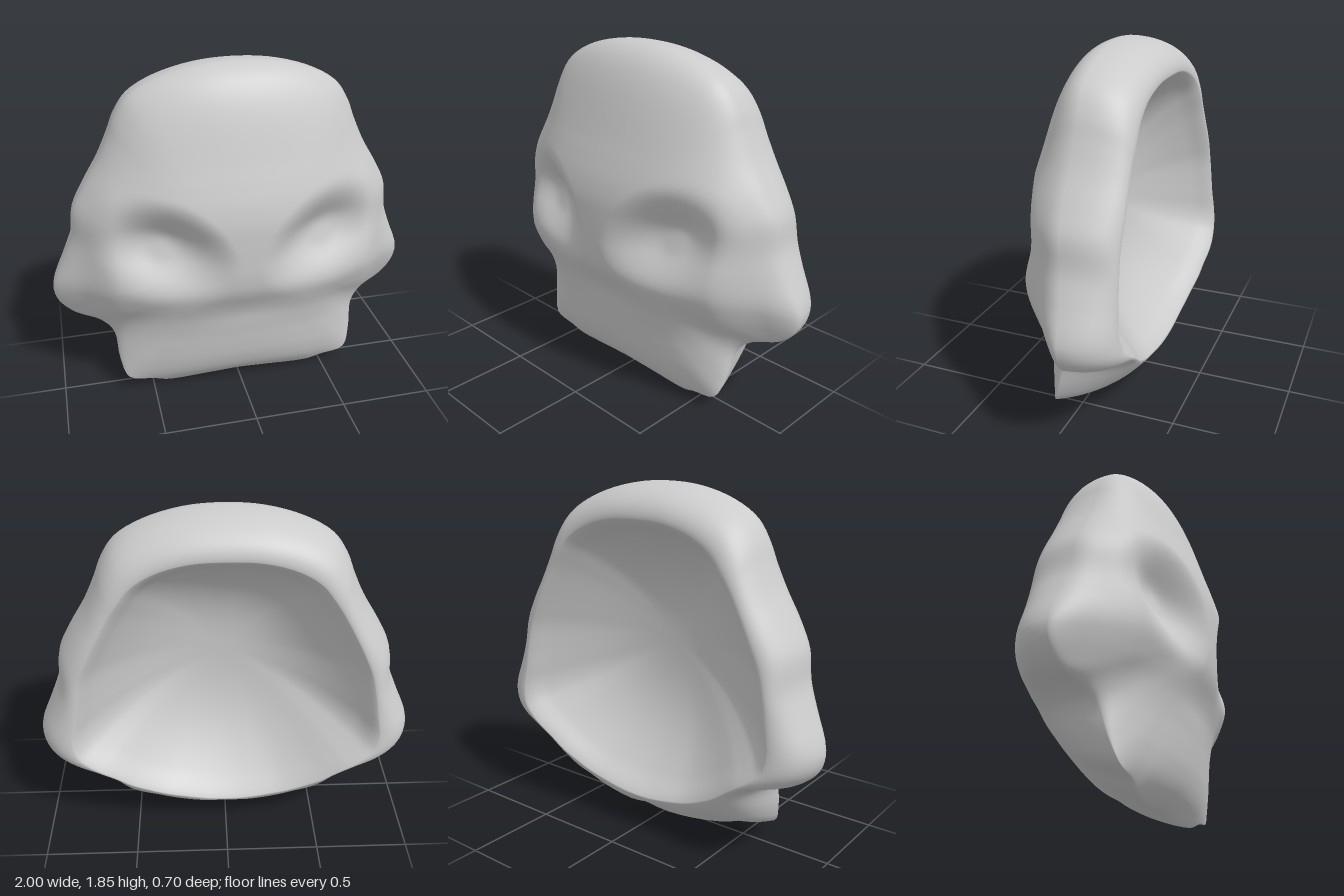
import * as THREE from 'three';
import { mergeVertices } from 'three/addons/utils/BufferGeometryUtils.js';

const { smoothstep, lerp } = THREE.MathUtils;

// Half outline, top to bottom: widest edge x, y, z and the matching back rim x, y, z
const OUTLINE = [
  [0, 1.85, -0.02, 0, 1.68, -0.29],
  [0.2, 1.835, -0.02, 0.18, 1.67, -0.29],
  [0.4, 1.78, -0.03, 0.35, 1.62, -0.29],
  [0.54, 1.7, -0.04, 0.46, 1.55, -0.295],
  [0.61, 1.6, -0.05, 0.53, 1.46, -0.3],
  [0.65, 1.5, -0.05, 0.58, 1.38, -0.3],
  [0.71, 1.37, -0.05, 0.64, 1.27, -0.305],
  [0.8, 1.22, -0.05, 0.7, 1.15, -0.31],
  [0.86, 1.1, -0.06, 0.75, 1.03, -0.31],
  [0.88, 0.95, -0.07, 0.78, 0.9, -0.315],
  [0.93, 0.82, -0.09, 0.8, 0.78, -0.32],
  [1, 0.64, -0.1, 0.82, 0.65, -0.33],
  [0.98, 0.54, -0.1, 0.8, 0.56, -0.34],
  [0.9, 0.46, -0.09, 0.74, 0.5, -0.35],
  [0.77, 0.42, -0.05, 0.67, 0.45, -0.35],
  [0.7, 0.36, 0, 0.6, 0.4, -0.34],
  [0.68, 0.2, 0.05, 0.52, 0.34, -0.33],
  [0.64, 0.09, 0.09, 0.43, 0.29, -0.315],
  [0.5, 0.055, 0.09, 0.34, 0.25, -0.305],
  [0.41, 0.02, 0.07, 0.25, 0.225, -0.3],
  [0.15, 0.005, 0.02, 0.1, 0.2, -0.3],
  [0, 0.025, 0.04, 0, 0.195, -0.3],
];

// Depth of the face down its centre line, every 0.1 up from the chin
const PROFILE_STEP = 0.1;
const PROFILE = new THREE.SplineCurve([
  0.16, 0.2, 0.215, 0.222, 0.232, 0.255, 0.293, 0.328, 0.343, 0.347,
  0.348, 0.345, 0.328, 0.3, 0.27, 0.245, 0.225, 0.21, 0.2, 0.19,
].map((z, i) => new THREE.Vector2(i * PROFILE_STEP, z)));
const PROFILE_HEIGHT = (PROFILE.points.length - 1) * PROFILE_STEP;

// Front surface: curved face, temples falling away, dent under the nose, tilted sockets
function faceDepth(x, y) {
  const ax = Math.abs(x);
  let z = PROFILE.getPoint(y / PROFILE_HEIGHT).y - 0.23 * ax * ax;
  z -= 0.06 * smoothstep(ax, 0.66, 0.88);
  z -= 0.018 * Math.exp(-(((y - 0.57) / 0.1) ** 2) - (x / 0.3) ** 2);
  const dx = ax - 0.43;
  const dy = y - 0.93 - 0.2 * dx;
  const r = Math.hypot(dx / 0.35, dy / 0.31);
  const underBrow = smoothstep(dy, -0.42, 0.12);
  return z - 0.145 * (1 - smoothstep(r, 0.15, 1.08)) * underBrow;
}

// Closed smooth curve through the mirrored outline
function closedCurve(offset) {
  const half = OUTLINE.map((p) => new THREE.Vector3(p[offset], p[offset + 1], p[offset + 2]));
  const mirrored = half.slice(1, -1).reverse().map((p) => new THREE.Vector3(-p.x, p.y, p.z));
  return new THREE.CatmullRomCurve3([...half, ...mirrored], true);
}

function maskGeometry() {
  const columns = 168, frontRows = 72, wallRows = 14, bowlRows = 32;
  const faceCentre = 0.9, bowlCentre = 1;
  const edge = closedCurve(0);
  const rim = closedCurve(3);
  const rings = [];
  const addRing = (pointAt) => {
    const ring = [];
    for (let c = 0; c < columns; c++) {
      ring.push(pointAt(edge.getPoint(c / columns), rim.getPoint(c / columns)));
    }
    rings.push(ring);
  };

  // Face, from the bridge of the nose out to the widest edge
  for (let r = 0; r <= frontRows; r++) {
    const s = Math.sin(((r / frontRows) * Math.PI) / 2);
    const shoulder = Math.sqrt(Math.max(0, 1 - s ** 6));
    addRing((e) => {
      const x = e.x * s;
      const y = lerp(faceCentre, e.y, s);
      return [x, y, lerp(e.z, faceDepth(x, y), shoulder)];
    });
  }

  // Rounded side wall, from the widest edge to the back rim; straighter under the jaw
  for (let r = 1; r <= wallRows; r++) {
    const u = r / wallRows;
    addRing((e, b) => {
      const round = lerp(0.45, 1, smoothstep(e.y, 0.2, 0.6));
      const inward = lerp(u, 1 - Math.cos((u * Math.PI) / 2), round);
      const back = lerp(u, Math.sin((u * Math.PI) / 2), round);
      return [lerp(e.x, b.x, inward), lerp(e.y, b.y, inward), lerp(e.z, b.z, back)];
    });
  }

  // Hollow back, from the rounded rim in to the shallow bowl floor
  for (let r = 1; r <= bowlRows; r++) {
    const u = (r / bowlRows) ** 1.4;
    const s = 1 - u;
    const depth = (1 - s ** 2.7) * smoothstep(u, -0.1, 0.12);
    addRing((e, b) => {
      const x = b.x * s;
      const y = lerp(bowlCentre, b.y, s);
      return [x, y, lerp(b.z, 0.05 - 0.12 * x * x, depth)];
    });
  }

  const index = [];
  for (let r = 0; r < rings.length - 1; r++) {
    for (let c = 0; c < columns; c++) {
      const a = r * columns + c;
      const b = r * columns + ((c + 1) % columns);
      index.push(a, b, a + columns, b, b + columns, a + columns);
    }
  }
  const geometry = new THREE.BufferGeometry();
  geometry.setAttribute('position', new THREE.Float32BufferAttribute(rings.flat(2), 3));
  geometry.setIndex(index);
  const merged = mergeVertices(geometry, 1e-5);
  merged.computeVertexNormals();
  return merged;
}

export function createModel() {
  const group = new THREE.Group();
  group.name = 'skullMask';
  const mask = new THREE.Mesh(maskGeometry(), new THREE.MeshStandardMaterial({ color: 0xcccccc }));
  mask.name = 'maskShell';
  group.add(mask);
  return group;
}
